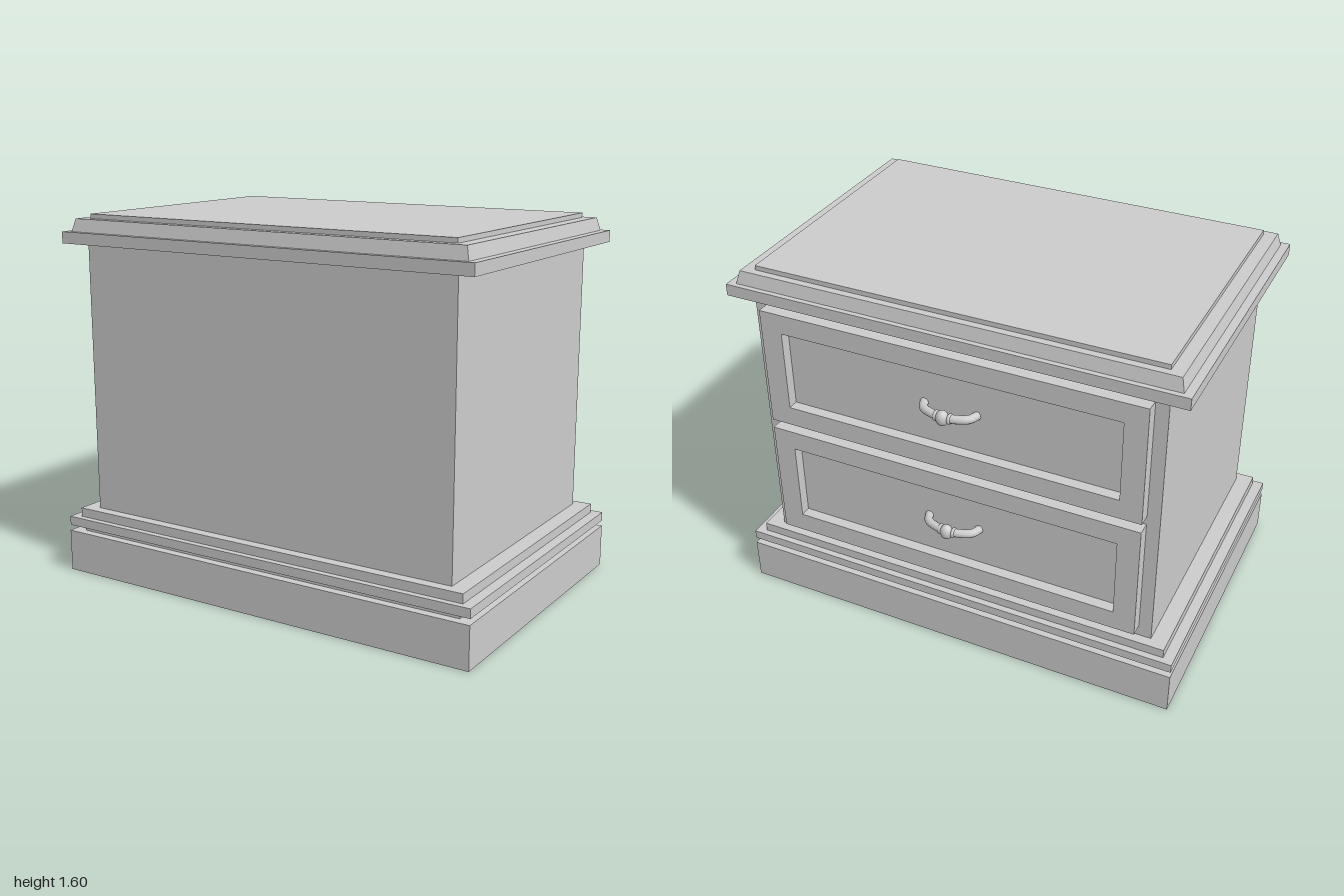
import * as THREE from 'three';

const material = new THREE.MeshStandardMaterial({ color: 0xcccccc });

function add(parent, name, geometry) {
  const mesh = new THREE.Mesh(geometry, material);
  mesh.name = name;
  parent.add(mesh);
  return mesh;
}

// Box spanning -halfX..halfX, y0..y1, z0..z1; inset narrows its top edge
function slab(parent, name, halfX, y0, y1, z0, z1, inset = 0) {
  const geo = new THREE.BoxGeometry(halfX * 2, y1 - y0, z1 - z0);
  if (inset) {
    const p = geo.attributes.position;
    for (let i = 0; i < p.count; i++) {
      if (p.getY(i) <= 0) continue;
      p.setX(i, p.getX(i) - Math.sign(p.getX(i)) * inset);
      p.setZ(i, p.getZ(i) - Math.sign(p.getZ(i)) * inset);
    }
    geo.computeVertexNormals();
  }
  add(parent, name, geo).position.set(0, (y0 + y1) / 2, (z0 + z1) / 2);
}

// Rectangle outline centred on the origin
function rectangle(PathType, hx, hy) {
  return new PathType([
    [-hx, -hy], [hx, -hy], [hx, hy], [-hx, hy],
  ].map(([x, y]) => new THREE.Vector2(x, y)));
}

// Bowed pull with a ball and two collars; z = 0 is the drawer face
function createHandle() {
  const handle = new THREE.Group();
  handle.name = 'handle';
  const curve = new THREE.CatmullRomCurve3([
    [-0.118, 0.05], [-0.1, 0.01], [-0.055, -0.012], [0, -0.02],
    [0.055, -0.012], [0.1, 0.01], [0.118, 0.05],
  ].map(([x, z]) => new THREE.Vector3(x, 0, z)));
  add(handle, 'handleBow', new THREE.TubeGeometry(curve, 32, 0.018, 12));
  const ball = add(handle, 'handleBall', new THREE.SphereGeometry(0.027, 20, 14));
  ball.scale.y = 1.25;
  ball.position.z = -0.025;
  for (const side of [-1, 1]) {
    const collar = add(handle, 'handleCollar', new THREE.TorusGeometry(0.016, 0.007, 8, 16));
    collar.rotation.y = Math.PI / 2;
    collar.position.set(side * 0.03, 0, -0.018);
  }
  return handle;
}

// Framed drawer front with a recessed panel and a pull
function createDrawer(centerY) {
  const drawer = new THREE.Group();
  drawer.name = 'drawer';
  const frame = rectangle(THREE.Shape, 0.83, 0.265);
  frame.holes.push(rectangle(THREE.Path, 0.735, 0.178));
  add(drawer, 'drawerFrame', new THREE.ExtrudeGeometry(frame, { depth: 0.06, bevelEnabled: false }));
  add(drawer, 'drawerPanel', new THREE.BoxGeometry(1.48, 0.37, 0.012)).position.z = 0.053;
  drawer.add(createHandle());
  drawer.position.set(0, centerY, -0.632);
  return drawer;
}

export function createModel() {
  const model = new THREE.Group();
  model.name = 'nightstand';

  // Plinth and its mouldings
  slab(model, 'plinth', 1, 0, 0.185, -0.648, 0.685);
  slab(model, 'plinthGroove', 0.94, 0.185, 0.21, -0.606, 0.648);
  slab(model, 'plinthBand', 1, 0.21, 0.25, -0.645, 0.682);
  slab(model, 'plinthStep', 0.955, 0.25, 0.29, -0.617, 0.655);

  // Cabinet body
  slab(model, 'body', 0.885, 0.29, 1.475, -0.574, 0.61);

  // Stepped top
  slab(model, 'topSlab', 0.978, 1.475, 1.525, -0.632, 0.67);
  slab(model, 'topBevel', 0.943, 1.525, 1.58, -0.61, 0.648, 0.014);
  slab(model, 'topPanel', 0.875, 1.58, 1.6, -0.565, 0.6);

  // Two drawers
  for (const y of [0.605, 1.175]) model.add(createDrawer(y));

  return model;
}
